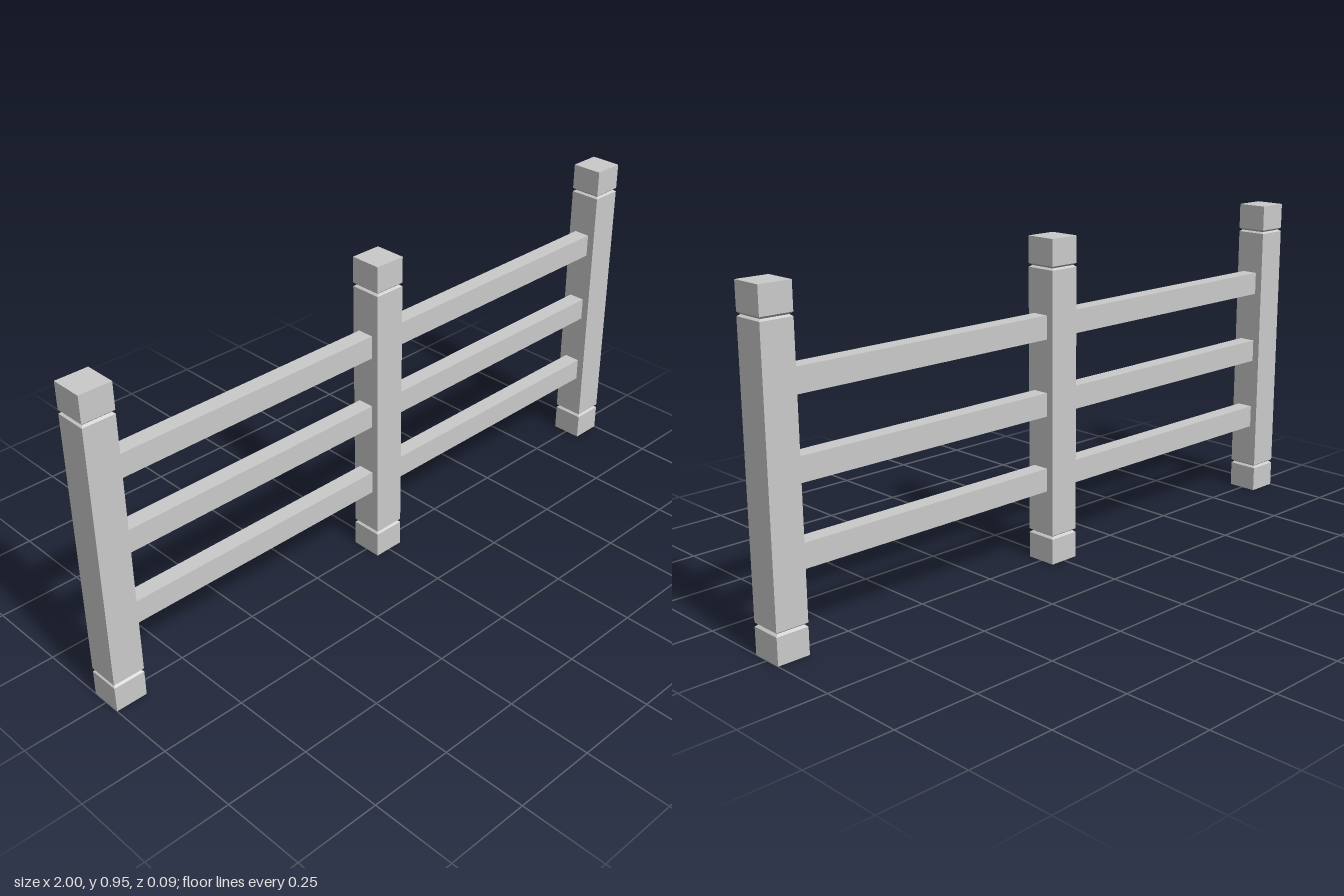
import * as THREE from 'three';

const HEIGHT = 0.953, HALF = 0.0475, NOTCH = 0.0405;
const POST_X = [-1 + HALF, 0, 1 - HALF];
const RAIL_Y = [0.254, 0.478, 0.702];

// Square post as a four-sided lathe, with a V groove near each end
function postGeometry() {
  const profile = [
    [0, 0], [HALF, 0],
    [HALF, 0.077], [NOTCH, 0.083], [HALF, 0.088],
    [HALF, HEIGHT - 0.088], [NOTCH, HEIGHT - 0.083], [HALF, HEIGHT - 0.077],
    [HALF, HEIGHT], [0, HEIGHT],
  ].map(([half, y]) => new THREE.Vector2(half * Math.SQRT2, y));
  return new THREE.LatheGeometry(profile, 4, Math.PI / 4);
}

export function createModel() {
  const fence = new THREE.Group();
  fence.name = 'fence';
  const material = new THREE.MeshStandardMaterial({ color: 0xcccccc, flatShading: true });

  const add = (name, geometry, x, y) => {
    const mesh = new THREE.Mesh(geometry, material);
    mesh.name = name;
    mesh.position.set(x, y, 0);
    fence.add(mesh);
  };

  // Posts
  const post = postGeometry();
  ['rightPost', 'middlePost', 'leftPost'].forEach((name, i) => add(name, post, POST_X[i], 0));

  // Three rails in each bay, ending at the post faces
  const span = POST_X[2] - 2 * HALF;
  const rail = new THREE.BoxGeometry(span, 0.069, 0.05);
  for (const [side, sign] of [['right', -1], ['left', 1]]) {
    ['LowerRail', 'MiddleRail', 'UpperRail'].forEach((name, i) =>
      add(side + name, rail, sign * POST_X[2] / 2, RAIL_Y[i]));
  }
  return fence;
}
